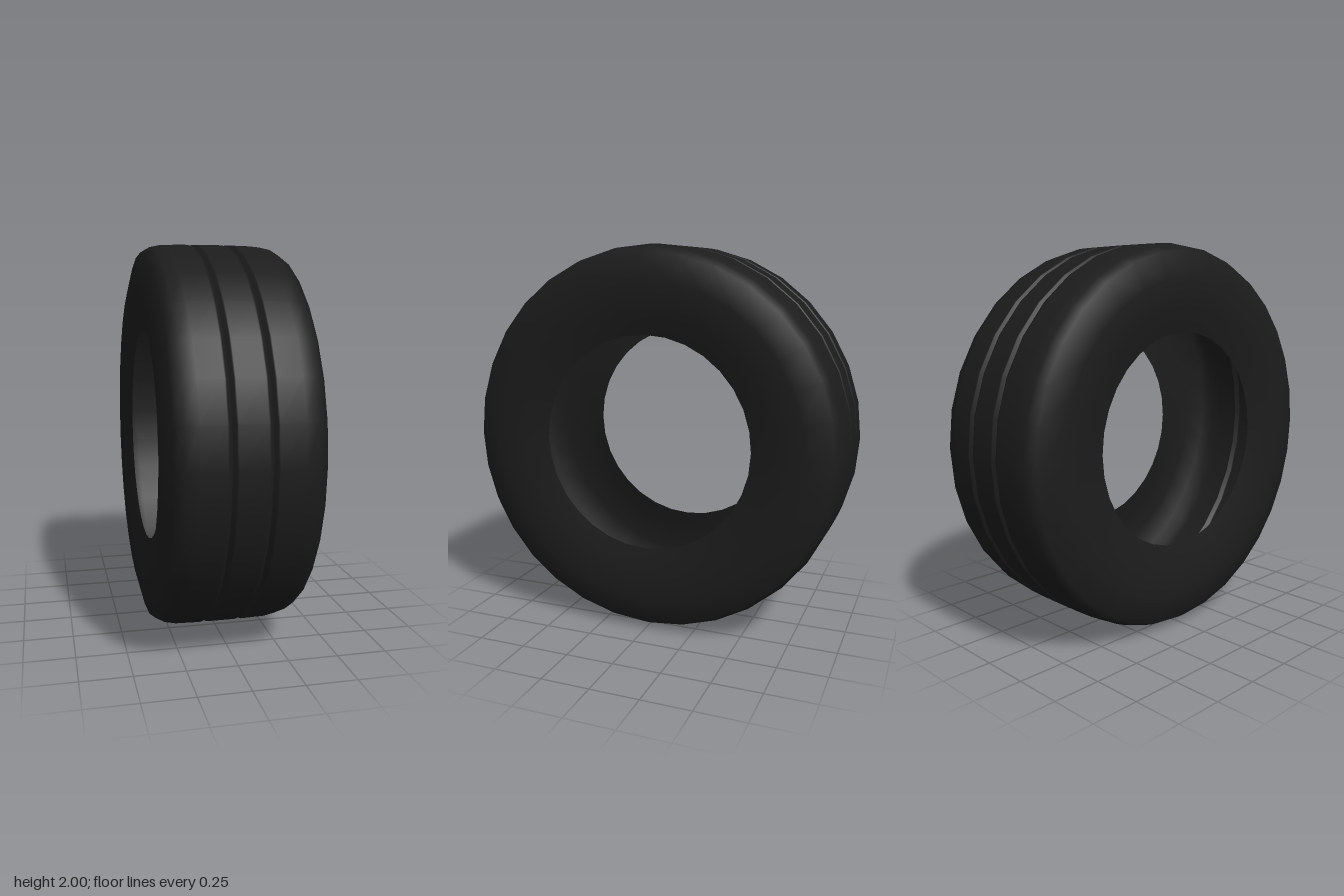
import * as THREE from 'three';

export function createModel() {
  const group = new THREE.Group();
  group.name = 'tyre';

  const rubber = new THREE.MeshStandardMaterial({ color: 0x1c1c1c, side: THREE.DoubleSide });

  // Half of the cross-section as [radius, offset along the axle], rim to centre
  const half = [
    [0.555, 0.33], [0.68, 0.363], [0.825, 0.377],   // sidewall
    [0.957, 0.343], [0.985, 0.295], [0.997, 0.235], // shoulder
    [1, 0.115], [1, 0.107],                         // outer rib
    [0.98, 0.094], [0.98, 0.088],                   // groove
    [1, 0.075], [1, 0.067],                         // centre rib
  ];
  const profile = [
    ...half.map(([r, x]) => new THREE.Vector2(r, -x)),
    ...half.slice().reverse().map(([r, x]) => new THREE.Vector2(r, x)),
  ];

  // Hollow shell, open at the rim, turned so that the axle lies along x
  const geometry = new THREE.LatheGeometry(profile, 32);
  geometry.rotateZ(Math.PI / 2);
  const shell = new THREE.Mesh(geometry, rubber);
  shell.name = 'tyreShell';
  shell.position.y = 1;
  group.add(shell);

  return group;
}
